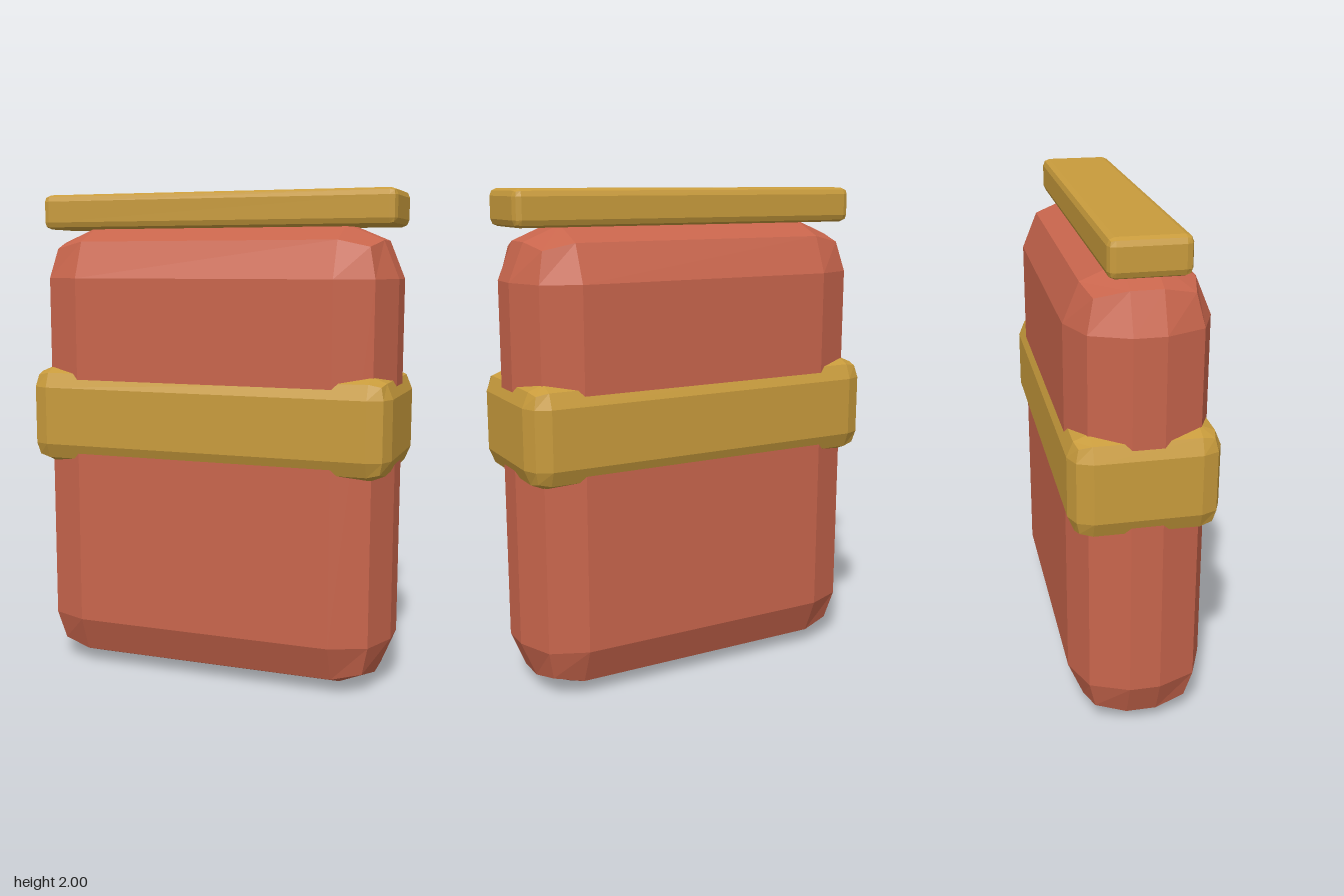
import * as THREE from 'three';
import { RoundedBoxGeometry } from 'three/addons/geometries/RoundedBoxGeometry.js';

export function createModel() {
  const model = new THREE.Group();
  model.name = 'strappedCase';

  const red = new THREE.MeshStandardMaterial({ color: 0xc8654c, flatShading: true });
  red.name = 'terracotta';
  const gold = new THREE.MeshStandardMaterial({ color: 0xc89b3c, flatShading: true });
  gold.name = 'gold';

  // Low-poly bevelled box spanning the heights bottom..top
  function addBlock(name, width, bottom, top, depth, radius, material) {
    const geometry = new RoundedBoxGeometry(width, top - bottom, depth, 1, radius);
    const mesh = new THREE.Mesh(geometry, material);
    mesh.name = name;
    mesh.position.y = (bottom + top) / 2;
    model.add(mesh);
  }

  // Main body, strap around the middle, and flat bar on top
  addBlock('body', 1.5, 0, 1.866, 0.54, 0.21, red);
  addBlock('strap', 1.53, 0.881, 1.289, 0.57, 0.085, gold);
  addBlock('topBar', 1.5, 1.858, 2, 0.295, 0.028, gold);

  return model;
}
